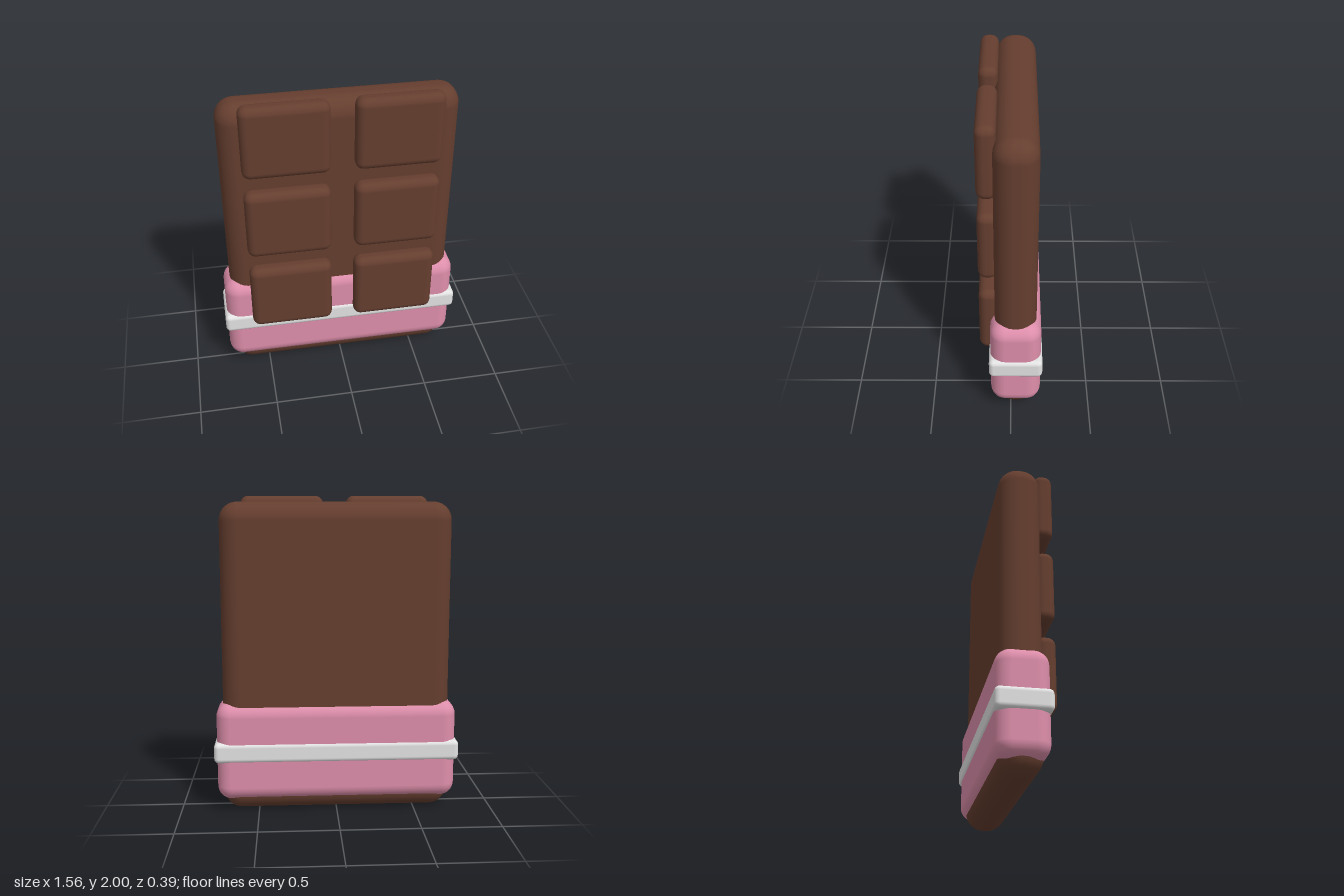
import * as THREE from 'three';
import { RoundedBoxGeometry } from 'three/addons/geometries/RoundedBoxGeometry.js';

const material = (name, color) => {
  const m = new THREE.MeshStandardMaterial({ color });
  m.name = name;
  return m;
};

// Rounded block given by its lower and upper limits on each axis
function block(name, [x0, x1], [y0, y1], [z0, z1], radius, mat) {
  const geometry = new RoundedBoxGeometry(x1 - x0, y1 - y0, z1 - z0, 4, radius);
  const mesh = new THREE.Mesh(geometry, mat);
  mesh.name = name;
  mesh.position.set((x0 + x1) / 2, (y0 + y1) / 2, (z0 + z1) / 2);
  return mesh;
}

export function createModel() {
  const chocolate = material('chocolate brown', 0x653e2f);
  const pink = material('wrapper pink', 0xdd8eaa);
  const white = material('band white', 0xe2e2e2);

  const model = new THREE.Group();
  model.name = 'chocolateBar';

  // Slab, wrapper around its lower end, and the band around the wrapper
  model.add(
    block('slab', [-0.725, 0.725], [0, 1.965], [-0.157, 0.098], 0.115, chocolate),
    block('wrapper', [-0.765, 0.765], [0.075, 0.71], [-0.186, 0.126], 0.09, pink),
    block('wrapperBand', [-0.78, 0.78], [0.33, 0.46], [-0.195, 0.135], 0.03, white),
  );

  // Two columns of three raised squares on the front
  const squares = new THREE.Group();
  squares.name = 'squares';
  for (const x of [-0.336, 0.336]) {
    for (let row = 0; row < 3; row++) {
      const y = 0.632 + row * 0.568;
      squares.add(block('square', [x - 0.263, x + 0.263], [y - 0.232, y + 0.232], [0.078, 0.195], 0.05, chocolate));
    }
  }
  model.add(squares);
  return model;
}
